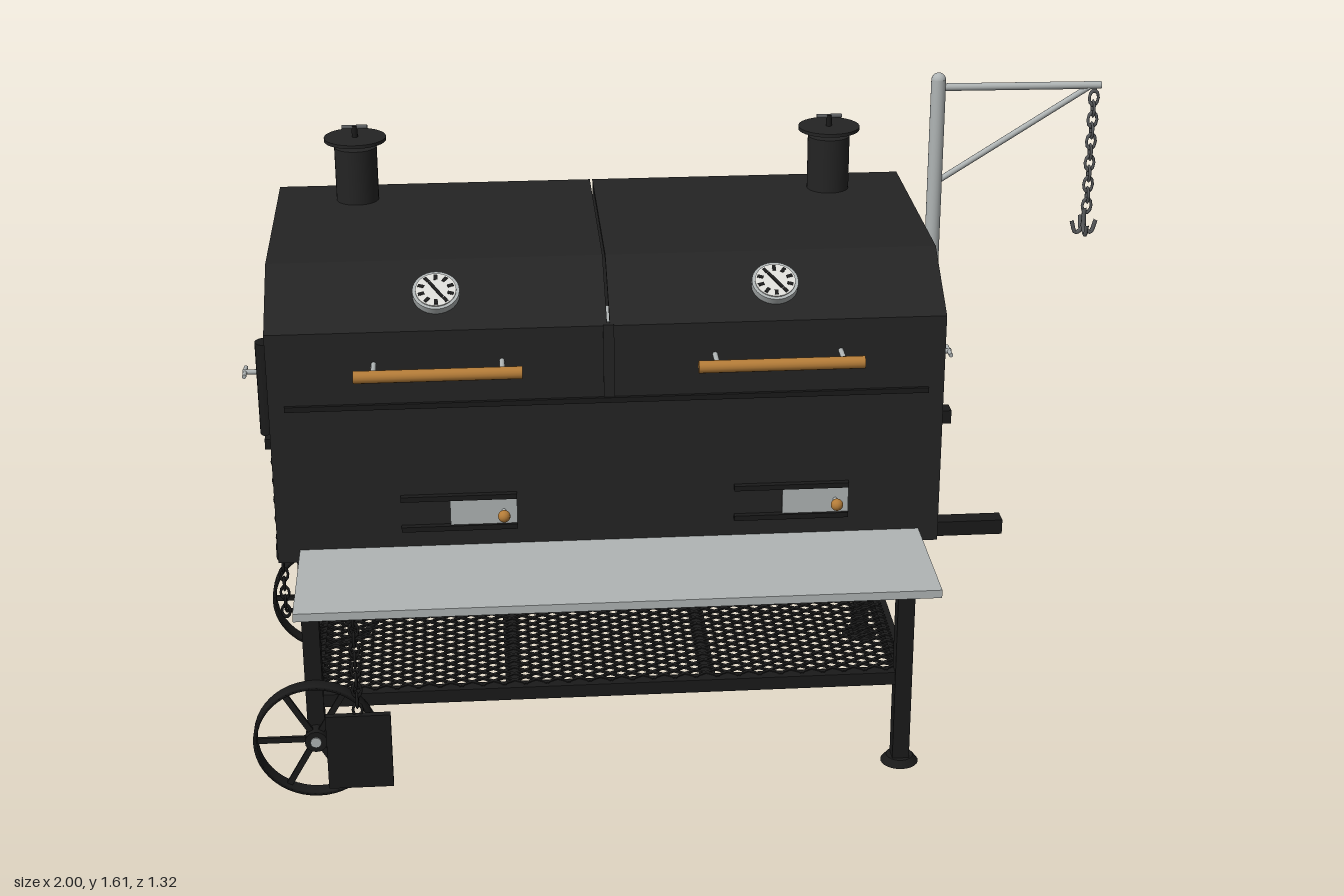
import * as THREE from 'three';
import { mergeGeometries } from 'three/addons/utils/BufferGeometryUtils.js';

const V = (x, y, z) => new THREE.Vector3(x, y, z);
const mat = (name, color) => Object.assign(new THREE.MeshStandardMaterial({ color }), { name });

export function createModel() {
  const root = new THREE.Group();
  root.name = 'smokerGrill';
  const black = mat('blackSteel', 0x242424), frame = mat('frameBlack', 0x1a1a1a);
  const silver = mat('stainless', 0xb0b5b5), wood = mat('wood', 0xb47c38);
  const white = mat('dialWhite', 0xdcdcd8), chainMat = mat('chainSteel', 0x5c5e60);

  // ---- helpers
  const add = (name, geo, m, p = [0, 0, 0]) => {
    const mesh = new THREE.Mesh(geo, m);
    mesh.name = name;
    mesh.position.set(...p);
    root.add(mesh);
    return mesh;
  };
  const boxGeo = (x0, x1, y0, y1, z0, z1) =>
    new THREE.BoxGeometry(x1 - x0, y1 - y0, z1 - z0).translate((x0 + x1) / 2, (y0 + y1) / 2, (z0 + z1) / 2);
  const box = (name, m, ...b) => add(name, boxGeo(...b), m);
  const rodGeo = (a, b, r, n = 12) => {
    const d = b.clone().sub(a), g = new THREE.CylinderGeometry(r, r, d.length(), n);
    g.applyQuaternion(new THREE.Quaternion().setFromUnitVectors(V(0, 1, 0), d.normalize()));
    return g.translate((a.x + b.x) / 2, (a.y + b.y) / 2, (a.z + b.z) / 2);
  };
  const rod = (name, m, a, b, r, n) => add(name, rodGeo(a, b, r, n), m);
  const bend = (name, m, pts, r) =>
    add(name, new THREE.TubeGeometry(new THREE.CatmullRomCurve3(pts), 24, r, 6), m);
  // extrude a (z, y) outline along x
  const extrudeX = (pts, x0, x1, slots = []) => {
    const s = new THREE.Shape(pts.map(([z, y]) => new THREE.Vector2(-z, y)));
    for (const z of slots) {
      const h = new THREE.Path();
      h.absarc(-z, 1.078, 0.016, 0, Math.PI, false);
      h.absarc(-z, 1.018, 0.016, Math.PI, Math.PI * 2, false);
      h.closePath();
      s.holes.push(h);
    }
    return new THREE.ExtrudeGeometry(s, { depth: x1 - x0, bevelEnabled: false, curveSegments: 8 })
      .rotateY(Math.PI / 2).translate(x0, 0, 0);
  };
  // expanded metal panel, corner at the origin in the xy plane
  const expanded = (w, h, pitch = 0.05, s = 0.62) => {
    const parts = [];
    for (let c = -h / s + pitch / 2; c < w; c += pitch) {
      const a = Math.max(0, c), b = Math.min(w, c + h / s);
      if (b - a < 0.004) continue;
      const len = Math.hypot(b - a, s * (b - a)), my = s * ((a + b) / 2 - c);
      for (const k of [1, -1]) {
        const mx = k > 0 ? (a + b) / 2 : w - (a + b) / 2;
        parts.push(new THREE.BoxGeometry(len, 0.007, 0.005).rotateZ(k * Math.atan(s)).translate(mx, my, 0));
      }
    }
    return mergeGeometries(parts);
  };
  const chain = (name, m, x, z, y0, y1) => {
    const links = [];
    for (let y = y0, i = 0; y < y1; y += 0.026, i++)
      links.push(new THREE.TorusGeometry(0.0105, 0.0035, 5, 10).scale(1, 1.6, 1)
        .rotateY(i % 2 * Math.PI / 2).translate(x, y, z));
    add(name, mergeGeometries(links), m);
  };

  // ---- cooking chamber: hollow base and two lids
  const X0 = -0.915, X1 = 0.585, MID = -0.165, T = 0.012;
  box('chamberFloor', black, X0, X1, 0.605, 0.617, -0.37, 0.348);
  box('chamberFront', black, X0, X1, 0.605, 0.985, 0.336, 0.348);
  box('chamberBack', black, X0, X1, 0.605, 0.985, -0.37, -0.358);
  for (const x of [X0, X1 - T]) box('chamberEnd', black, x, x + T, 0.605, 0.985, -0.37, 0.348);
  const lidOuter = [[0.348, 0.985], [0.348, 1.155], [0.18, 1.26], [-0.37, 1.26], [-0.37, 0.985]];
  const lidInner = [[-0.358, 0.985], [-0.358, 1.248], [0.177, 1.248], [0.336, 1.148], [0.336, 0.985]];
  for (const [a, b] of [[X0, MID - 0.003], [MID + 0.003, X1]])
    add('lidShell', extrudeX([...lidOuter, ...lidInner], a, b), black);
  for (const x of [X0, X1 - T]) add('lidEnd', extrudeX(lidOuter, x, x + T, [0.15, -0.18]), black);
  box('lidSeamStrip', black, MID - 0.012, MID + 0.012, 0.985, 1.158, 0.33, 0.351);
  box('lidLip', frame, -0.88, 0.55, 0.975, 0.987, 0.345, 0.356);
  box('cookingGrate', silver, X0 + 0.03, X1 - 0.03, 0.94, 0.946, -0.33, 0.32);

  // ---- side vents, sleeves and corner plates on both ends
  for (const [x, k] of [[X1, 1], [X0, -1]]) {
    const span = (a, b) => k > 0 ? [x + a, x + b] : [x - b, x - a];
    for (const z of [0.15, -0.18]) box('sideVent', frame, ...span(0, 0.012), 0.83, 0.92, z - 0.014, z + 0.014);
    for (const z of [0.14, -0.185]) box('ventTab', frame, ...span(0, 0.03), 0.8, 0.825, z - 0.014, z + 0.014);
    const px = x + k * 0.028;
    rod('craneSleeve', frame, V(px, 0.77, -0.015), V(px, 1, -0.015), 0.026, 16);
    rod('sleevePin', silver, V(px, 0.925, -0.015), V(x + k * 0.085, 0.925, -0.015), 0.006);
    rod('sleevePinGrip', silver, V(x + k * 0.08, 0.925, -0.045), V(x + k * 0.08, 0.925, 0.015), 0.005);
    box('cornerPlate', black, ...span(0, 0.022), 0.77, 0.995, -0.385, -0.32);
  }

  // ---- chimneys
  for (const x of [-0.725, 0.4]) {
    rod('chimney', black, V(x, 1.25, -0.265), V(x, 1.39, -0.265), 0.05, 28);
    rod('chimneyStem', frame, V(x, 1.38, -0.265), V(x, 1.44, -0.265), 0.007);
    rod('chimneyCap', black, V(x, 1.405, -0.265), V(x, 1.413, -0.265), 0.073, 32);
    rod('capGrip', chainMat, V(x - 0.03, 1.437, -0.265), V(x + 0.03, 1.437, -0.265), 0.005);
  }

  // ---- per-lid details: gauge, handle, damper, counterweight
  for (const lid of [-0.54, 0.21]) {
    const gauge = new THREE.Group();
    gauge.name = 'gauge';
    const part = (g, m, n) => gauge.add(Object.assign(new THREE.Mesh(g, m), { name: n }));
    part(new THREE.CylinderGeometry(0.052, 0.052, 0.02, 32), silver, 'gaugeCase');
    part(new THREE.CylinderGeometry(0.045, 0.045, 0.004, 32).translate(0, 0.011, 0), white, 'gaugeDial');
    const ticks = [new THREE.BoxGeometry(0.007, 0.004, 0.05).rotateY(0.6).translate(0, 0.013, 0)];
    for (let i = 0; i < 10; i++)
      ticks.push(new THREE.BoxGeometry(0.008, 0.004, 0.014).translate(0, 0.012, 0.034).rotateY(i * Math.PI / 5));
    part(mergeGeometries(ticks), frame, 'gaugeMarks');
    gauge.position.set(lid, 1.213, 0.269);
    gauge.rotation.x = Math.atan2(0.53, 0.848);
    root.add(gauge);

    rod('lidHandle', wood, V(lid - 0.183, 1.08, 0.42), V(lid + 0.183, 1.08, 0.42), 0.014, 16);
    for (const dx of [-0.14, 0.14])
      rod('handleBracket', silver, V(lid + dx, 1.08, 0.345), V(lid + dx, 1.08, 0.415), 0.006);

    const d = lid + 0.09;
    box('damperPlate', silver, d - 0.075, d + 0.075, 0.685, 0.755, 0.348, 0.355);
    for (const y of [0.683, 0.757]) box('damperRail', frame, d - 0.185, d + 0.075, y - 0.006, y + 0.006, 0.346, 0.362);
    rod('damperStem', silver, V(d + 0.045, 0.72, 0.35), V(d + 0.045, 0.72, 0.38), 0.005);
    add('damperKnob', new THREE.SphereGeometry(0.014, 16, 10), wood, [d + 0.045, 0.72, 0.385]);

    const c = lid < 0 ? -0.54 : 0.215;
    rod('counterweight', black, V(c - 0.27, 1.095, -0.615), V(c + 0.27, 1.095, -0.615), 0.041, 24);
    for (const dx of [-0.248, 0.248]) {
      rod('counterweightArm', frame, V(c + dx, 1.005, -0.38), V(c + dx, 1.09, -0.605), 0.01);
      box('armMount', frame, c + dx - 0.02, c + dx + 0.02, 0.955, 1.045, -0.4, -0.365);
    }
  }
  rod('hingeBar', silver, V(-0.88, 1, -0.397), V(0.55, 1, -0.397), 0.008);
  for (const x of [-0.78, -0.42, -0.165, 0.1, 0.46])
    box('backVent', frame, x - 0.025, x + 0.025, 0.735, 0.785, -0.395, -0.365);

  // ---- front shelf
  box('frontShelf', silver, -0.865, 0.54, 0.617, 0.636, 0.348, 0.66);
  box('shelfUnderside', frame, -0.84, 0.515, 0.606, 0.617, 0.35, 0.635);

  // ---- ash drawer
  box('ashDrawer', black, -0.375, 0.05, 0.48, 0.575, -0.17, 0.32);
  box('drawerRunner', frame, -0.4, 0.075, 0.575, 0.607, -0.08, 0.31);
  rod('drawerHandle', silver, V(-0.26, 0.53, 0.338), V(-0.07, 0.53, 0.338), 0.007);
  for (const x of [-0.24, -0.09]) rod('drawerHandleStem', silver, V(x, 0.53, 0.31), V(x, 0.53, 0.338), 0.005);
  add('drawerKnob', new THREE.SphereGeometry(0.014, 16, 10), wood, [-0.165, 0.588, 0.335]);

  // ---- stand: legs, feet, rails, mesh shelf
  for (const z of [0.305, -0.34]) {
    box('sideRail', frame, -0.92, 0.74, 0.603, 0.638, z - 0.02, z + 0.02);
    box('rightLeg', frame, 0.505, 0.545, 0.01, 0.61, z - 0.02, z + 0.02);
    box('leftLeg', frame, -0.875, -0.835, 0.12, 0.61, z - 0.02, z + 0.02);
    add('foot', new THREE.CylinderGeometry(0.032, 0.045, 0.016, 24), frame, [0.525, 0.008, z]);
    box('longRail', frame, -0.855, 0.525, 0.215, 0.247, z - 0.016, z + 0.016);
  }
  for (const x of [-0.855, -0.395, 0.065, 0.525])
    box('crossRail', frame, x - 0.016, x + 0.016, 0.215, 0.247, -0.34, 0.305);
  for (const x of [-0.855, 0.525]) box('topCrossRail', frame, x - 0.018, x + 0.018, 0.57, 0.606, -0.34, 0.305);
  add('shelfMesh', expanded(1.38, 0.645).rotateX(-Math.PI / 2), frame, [-0.855, 0.247, 0.305]);
  const gusset = new THREE.Shape([[-0.84, 0.606], [-0.84, 0.53], [-0.755, 0.606]].map(p => new THREE.Vector2(...p)));
  add('gusset', new THREE.ExtrudeGeometry(gusset, { depth: 0.01, bevelEnabled: false }), frame, [0, 0, 0.312]);

  // ---- wheels and axle
  rod('axle', frame, V(-0.855, 0.146, -0.4), V(-0.855, 0.146, 0.36), 0.012);
  for (const z of [0.343, -0.38]) {
    const rim = [[0.136, -0.016], [0.145, -0.016], [0.145, 0.016], [0.136, 0.016], [0.136, -0.016]];
    add('wheelRim', new THREE.LatheGeometry(rim.map(p => new THREE.Vector2(...p)), 48).rotateX(Math.PI / 2),
      frame, [-0.855, 0.146, z]).geometry.computeVertexNormals();
    const spokes = [0, 1, 2, 3, 4, 5].map(i =>
      new THREE.BoxGeometry(0.12, 0.014, 0.008).translate(0.08, 0, 0).rotateZ(i * Math.PI / 3));
    add('wheelSpokes', mergeGeometries(spokes), frame, [-0.855, 0.146, z]);
    rod('wheelHub', frame, V(-0.855, 0.146, z - 0.02), V(-0.855, 0.146, z + 0.018), 0.026, 20);
    rod('hubCap', silver, V(-0.855, 0.146, z - 0.024), V(-0.855, 0.146, z + 0.022), 0.013);
  }

  // ---- hanging plate on a chain, and rod rack on the left end
  box('hangingPlate', frame, -0.83, -0.68, 0.03, 0.22, 0.362, 0.378);
  chain('plateChain', frame, -0.755, 0.366, 0.23, 0.55);
  add('chainRing', new THREE.TorusGeometry(0.018, 0.004, 8, 20).rotateY(Math.PI / 2), frame, [-0.755, 0.555, 0.366]);
  rod('rackBar', frame, V(-0.96, 0.86, -0.3), V(-0.96, 0.86, -0.09), 0.008);
  for (const z of [-0.29, -0.1]) rod('rackBracket', frame, V(-0.915, 0.86, z), V(-0.96, 0.86, z), 0.008);
  chain('rackChain', frame, -0.96, -0.28, 0.16, 0.86);
  bend('rackChainHook', frame, [V(-0.96, 0.17, -0.28), V(-0.955, 0.15, -0.3), V(-0.9, 0.146, -0.33)], 0.006);
  for (const z of [-0.2, -0.05]) bend('rackTool', silver,
    [V(-0.955, 0.93, z - 0.02), V(-0.955, 0.84, z - 0.02), V(-0.955, 0.82, z), V(-0.955, 0.84, z + 0.02), V(-0.955, 0.93, z + 0.02)], 0.005);

  // ---- wire basket on the back
  const bx0 = -0.71, bx1 = 0.388, by0 = 0.262, by1 = 0.66, bz0 = -0.478, bz1 = -0.372;
  for (const z of [bz0, bz1]) {
    add('basketMesh', expanded(bx1 - bx0, by1 - by0), frame, [bx0, by0, z]);
    for (const y of [by0, by1]) rod('basketWire', frame, V(bx0, y, z), V(bx1, y, z), 0.007, 8);
    for (const x of [bx0, bx1]) rod('basketWire', frame, V(x, by0, z), V(x, by1, z), 0.007, 8);
  }
  for (const x of [bx0, bx1]) {
    add('basketEnd', expanded(bz1 - bz0, by1 - by0).rotateY(-Math.PI / 2), frame, [x, by0, bz0]);
    for (const y of [by0, by1]) rod('basketWire', frame, V(x, y, bz0), V(x, y, bz1), 0.007, 8);
  }
  add('basketBottom', expanded(bx1 - bx0, bz1 - bz0).rotateX(-Math.PI / 2), frame, [bx0, by0, bz1]);
  for (const x of [-0.605, -0.13, 0.345])
    add('basketHanger', new THREE.TorusGeometry(0.02, 0.005, 6, 16).rotateY(Math.PI / 2), frame, [x, by1, bz0]);
  for (const x of [-0.57, -0.34, -0.1, 0.14, 0.32]) bend('basketHook', frame,
    [V(x, 0.262, -0.478), V(x, 0.24, -0.495), V(x - 0.01, 0.225, -0.475), V(x - 0.02, 0.205, -0.485), V(x - 0.005, 0.205, -0.495)], 0.005);

  // ---- long tools standing in the basket
  for (const [x, z, y] of [[-0.415, -0.4, 0.08], [0.08, -0.42, 0.1]]) {
    for (const k of [-1, 1]) bend('toolShaft', silver,
      [V(x + k * 0.042, 0.5, z), V(x + k * 0.042, 0.3, z), V(x + k * 0.042, y + 0.06, z), V(x + k * 0.012, y + 0.018, z)], 0.006);
    add('toolRing', new THREE.TorusGeometry(0.014, 0.005, 8, 16), silver, [x, y, z]);
  }

  // ---- swing crane with chain and hook
  const cx = 0.613, cz = -0.015;
  rod('cranePost', silver, V(cx, 0.94, cz), V(cx, 1.592, cz), 0.017, 20);
  add('cranePostCap', new THREE.SphereGeometry(0.017, 16, 10), silver, [cx, 1.59, cz]);
  rod('craneArm', silver, V(cx, 1.573, cz), V(0.99, 1.57, cz), 0.009);
  rod('craneBrace', silver, V(cx, 1.345, cz), V(0.965, 1.568, cz), 0.007);
  chain('craneChain', chainMat, 0.975, cz, 1.28, 1.565);
  for (let i = 0; i < 4; i++) {
    const c = Math.cos(i * Math.PI / 2), s = Math.sin(i * Math.PI / 2);
    const at = (r, y) => V(0.97 + c * r * 0.8, y, cz + s * r);
    bend('craneHook', chainMat, [at(0, 1.275), at(0.005, 1.225), at(0.022, 1.215), at(0.036, 1.245)], 0.005);
  }
  return root;
}
